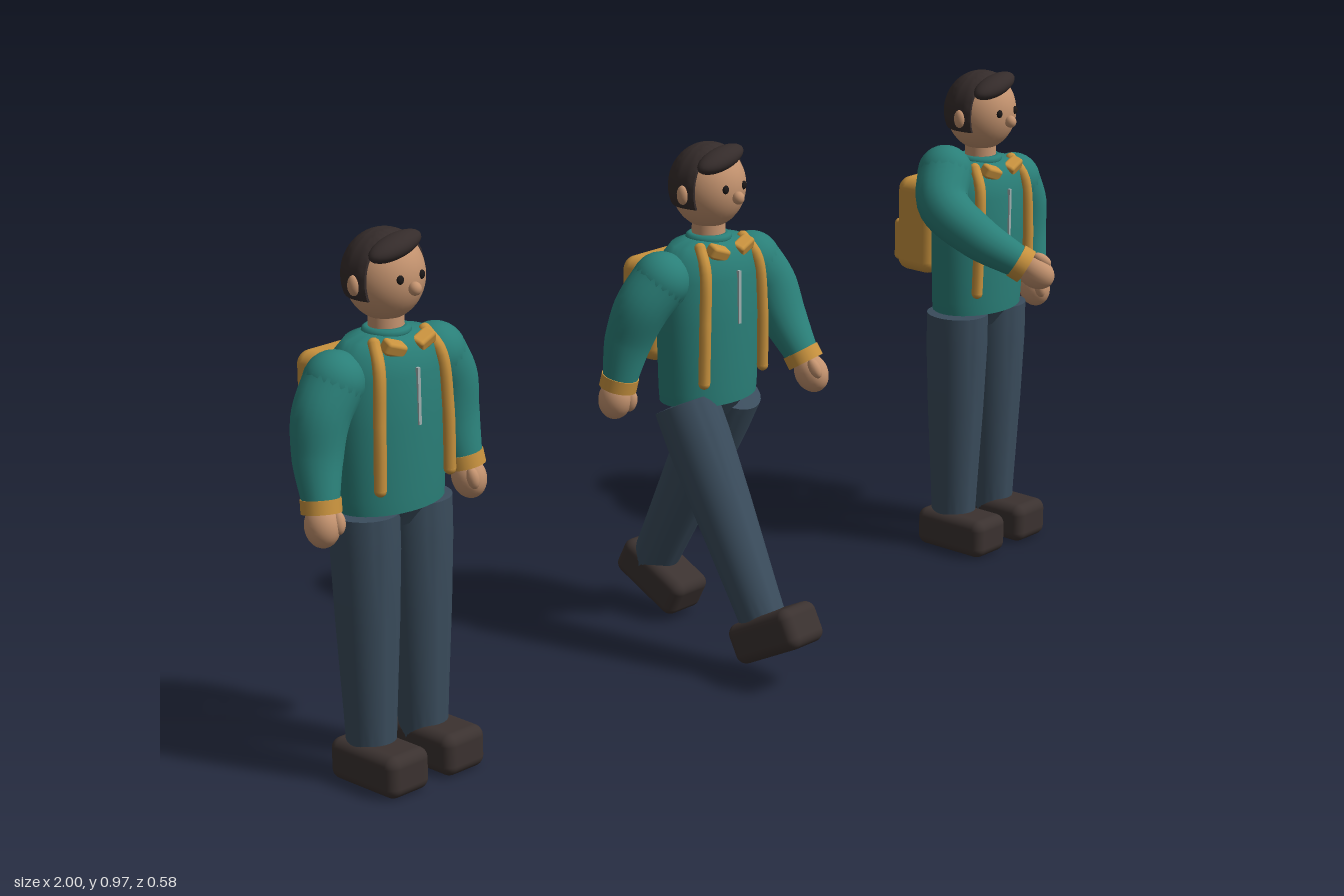
import * as THREE from 'three';
import { RoundedBoxGeometry } from 'three/addons/geometries/RoundedBoxGeometry.js';
import { toCreasedNormals } from 'three/addons/utils/BufferGeometryUtils.js';

const mat = (color) => new THREE.MeshStandardMaterial({ color, roughness: 0.8 });
const M = {
  jacket: mat(0x2a7f78), trousers: mat(0x3a4c5c), shoe: mat(0x3b3230), trim: mat(0xc8923e),
  skin: mat(0xc4936f), hair: mat(0x352c2b), dark: mat(0x1c1818), zip: mat(0x9fb0b0),
};
const BODY_Z = -0.02; // depth of the body axis
const V = (x, y, z) => new THREE.Vector3(x, y, z);

function add(parent, name, geometry, material, x = 0, y = 0, z = 0) {
  const mesh = new THREE.Mesh(geometry, material);
  mesh.name = name;
  mesh.position.set(x, y, z);
  parent.add(mesh);
  return mesh;
}

const ellipsoid = (rx, ry, rz, n = 24) => new THREE.SphereGeometry(1, n, Math.round(n * 0.7)).scale(rx, ry, rz);
const rounded = (w, h, d, r) => new RoundedBoxGeometry(w, h, d, 4, r);

function lathe(profile, depth) {
  const g = new THREE.LatheGeometry(profile.map(([r, y]) => new THREE.Vector2(r, y)), 36);
  return toCreasedNormals(g.scale(1, 1, depth), 0.7);
}

// Tube along a smooth path whose radius follows a short list
function taperTube(points, radii) {
  const segs = 24, sides = 20;
  const curve = new THREE.CatmullRomCurve3(points);
  const g = new THREE.TubeGeometry(curve, segs, 1, sides);
  const p = g.attributes.position, n = g.attributes.normal;
  for (let i = 0; i < p.count; i++) {
    const t = Math.floor(i / (sides + 1)) / segs, f = t * (radii.length - 1);
    const k = Math.min(Math.floor(f), radii.length - 2);
    const r = THREE.MathUtils.lerp(radii[k], radii[k + 1], f - k);
    const c = curve.getPointAt(t);
    p.setXYZ(i, c.x + n.getX(i) * r, c.y + n.getY(i) * r, c.z + n.getZ(i) * r);
  }
  return g;
}

// Sleeve, cuff and hand; the path runs from shoulder to wrist
function makeArm(name, points, side) {
  const arm = new THREE.Group();
  arm.name = name;
  const radii = [0.054, 0.05, 0.043, 0.032];
  add(arm, 'sleeve', taperTube(points, radii), M.jacket);
  add(arm, 'shoulder', ellipsoid(0.054, 0.054, 0.054), M.jacket, ...points[0].toArray());
  const wrist = points[3];
  const dir = new THREE.CatmullRomCurve3(points).getTangentAt(1);
  const end = new THREE.Group();
  end.name = 'wrist';
  end.position.copy(wrist);
  end.quaternion.setFromUnitVectors(V(0, -1, 0), dir);
  add(end, 'cuff', new THREE.CylinderGeometry(0.035, 0.035, 0.024, 24), M.trim, 0, -0.006, 0);
  add(end, 'hand', ellipsoid(0.029, 0.038, 0.033), M.skin, 0, -0.04, 0);
  add(end, 'thumb', ellipsoid(0.011, 0.02, 0.012, 14), M.skin, -side * 0.014, -0.036, 0.026);
  arm.add(end);
  return arm;
}

const relaxedPath = (s) => [
  V(s * 0.115, 0.73, -0.025), V(s * 0.145, 0.68, -0.026), V(s * 0.157, 0.61, -0.025), V(s * 0.165, 0.535, -0.012),
];
const raisedPath = (s) => [
  V(s * 0.095, 0.782, -0.033), V(s * 0.134, 0.73, -0.005), V(s * 0.118, 0.675, 0.065), V(s * 0.07, 0.625, 0.135),
];

// Hangs a limb on a joint and swings it forward by the given angle
function swing(parent, limb, y, angle) {
  const joint = new THREE.Group();
  joint.name = limb.name + 'Joint';
  joint.position.set(0, y, BODY_Z);
  limb.position.set(0, -y, -BODY_Z);
  joint.rotation.x = -angle;
  joint.add(limb);
  parent.add(joint);
}

function makeLeg(name, side) {
  const leg = new THREE.Group();
  leg.name = name;
  const profile = [[0, 0.05], [0.042, 0.05], [0.045, 0.12], [0.054, 0.29], [0.059, 0.42], [0.059, 0.49], [0, 0.495]];
  add(leg, 'trouserLeg', lathe(profile, 1.05), M.trousers, side * 0.061, 0, BODY_Z - 0.001);
  add(leg, 'shoe', rounded(0.094, 0.077, 0.164, 0.02), M.shoe, side * 0.066, 0.0385, 0.004);
  return leg;
}

function makeHead() {
  const head = new THREE.Group();
  head.name = 'head';
  head.position.set(0, 0.893, BODY_Z);
  add(head, 'skull', ellipsoid(0.069, 0.078, 0.069, 32), M.skin);
  // Hair shell, cut off in front of the ears and at the nape
  const hair = ellipsoid(0.074, 0.08, 0.074, 48);
  const p = hair.attributes.position;
  for (let i = 0; i < p.count; i++) {
    p.setY(i, Math.max(p.getY(i), -0.032 + 0.05 * Math.min(p.getZ(i), 0) * 0.5));
    p.setZ(i, Math.min(p.getZ(i), 0.025));
  }
  add(head, 'hair', toCreasedNormals(hair, 0.6), M.hair);
  add(head, 'quiff', ellipsoid(0.056, 0.02, 0.027), M.hair, -0.012, 0.057, 0.04).rotation.z = 0.22;
  add(head, 'nose', ellipsoid(0.011, 0.012, 0.012, 16), M.skin, 0, -0.012, 0.073);
  for (const s of [-1, 1]) {
    add(head, 'eye', ellipsoid(0.007, 0.008, 0.005, 14), M.dark, s * 0.024, 0.006, 0.064);
    add(head, 'ear', ellipsoid(0.009, 0.018, 0.012, 16), M.skin, s * 0.073, -0.005, 0.003);
  }
  return head;
}

function makeTorso() {
  const torso = new THREE.Group();
  torso.name = 'torso';
  const profile = [[0, 0.495], [0.106, 0.495], [0.108, 0.52], [0.112, 0.65], [0.11, 0.73], [0.1, 0.77],
    [0.08, 0.79], [0.05, 0.798], [0, 0.8]];
  add(torso, 'jacket', lathe(profile, 0.69), M.jacket, 0, 0, BODY_Z - 0.002);
  add(torso, 'pelvis', lathe([[0, 0.455], [0.05, 0.457], [0.095, 0.5], [0, 0.51]], 0.66), M.trousers, 0, 0, BODY_Z);
  add(torso, 'neck', new THREE.CylinderGeometry(0.03, 0.032, 0.06, 24), M.skin, 0, 0.81, BODY_Z);
  add(torso, 'collarRing', new THREE.TorusGeometry(0.034, 0.009, 10, 28).rotateX(Math.PI / 2), M.jacket, 0, 0.797, BODY_Z);
  add(torso, 'zip', new THREE.BoxGeometry(0.006, 0.1, 0.006), M.zip, 0, 0.695, 0.055);
  for (const s of [-1, 1]) {
    const flap = add(torso, 'collarFlap', rounded(0.042, 0.024, 0.026, 0.006), M.trim, s * 0.034, 0.782, 0.034);
    flap.rotation.set(0.35, s * 0.2, s * 0.3);
    // Flat shoulder strap bowed over the chest
    const path = new THREE.CatmullRomCurve3([V(0.058, 0.79, 0.012), V(0.07, 0.755, 0.036), V(0.078, 0.66, 0.043), V(0.08, 0.545, 0.042)]
      .map((v) => v.setX(v.x * s)));
    const strap = new THREE.TubeGeometry(path, 20, 0.011, 10);
    add(torso, 'strap', strap, M.trim);
    for (const t of [0, 1]) add(torso, 'strapEnd', ellipsoid(0.011, 0.011, 0.011, 12), M.trim, ...path.getPoint(t).toArray());
  }
  return torso;
}

function makeBackpack() {
  const pack = new THREE.Group();
  pack.name = 'backpack';
  add(pack, 'packBody', rounded(0.155, 0.192, 0.095, 0.026), M.trim, 0, 0.65, -0.129);
  add(pack, 'packPocket', rounded(0.125, 0.085, 0.03, 0.009), M.trim, 0, 0.612, -0.174);
  return pack;
}

// stride swings the limbs; raised lifts the right arm
function makeWalker(name, x, { stride = 0, raised = false } = {}) {
  const figure = new THREE.Group();
  figure.name = name;
  figure.position.x = x;
  figure.add(makeHead(), makeTorso(), makeBackpack());
  for (const s of [-1, 1]) {
    const label = s < 0 ? 'right' : 'left';
    swing(figure, makeLeg(label + 'Leg', s), 0.49, -s * stride);
    const path = raised && s < 0 ? raisedPath(s) : relaxedPath(s);
    swing(figure, makeArm(label + 'Arm', path, s), 0.75, s * stride * 0.78);
  }
  return figure;
}

export function createModel() {
  const model = new THREE.Group();
  model.name = 'threePoses';
  model.add(
    makeWalker('standingFigure', -0.8),
    makeWalker('walkingFigure', 0, { stride: 0.47 }),
    makeWalker('greetingFigure', 0.8, { raised: true }),
  );
  return model;
}
